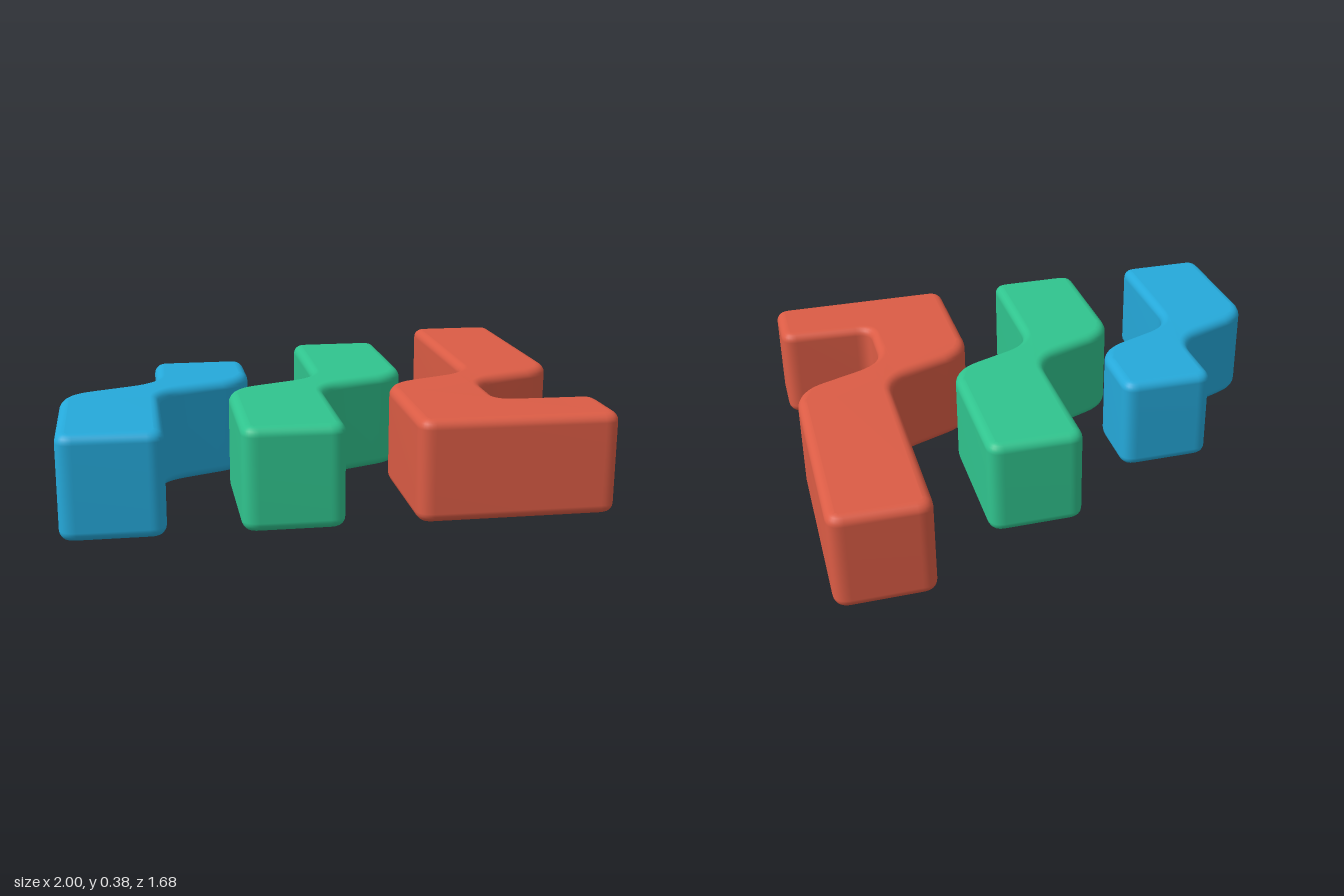
import * as THREE from 'three';
import { mergeVertices } from 'three/addons/utils/BufferGeometryUtils.js';

const HEIGHT = 0.38, BEVEL = 0.035, W = 0.37, FRONT = 0.84;

// Closed outline with rounded corners; each point is [x, z, radius]
function roundedShape(points) {
  const shape = new THREE.Shape();
  const n = points.length;
  const vec = (i) => new THREE.Vector2(points[(i + n) % n][0], -points[(i + n) % n][1]);
  for (let i = 0; i < n; i++) {
    const p = vec(i), r = points[i][2];
    const a = vec(i - 1).sub(p).setLength(r).add(p);
    const b = vec(i + 1).sub(p).setLength(r).add(p);
    if (i === 0) shape.moveTo(a.x, a.y);
    else shape.lineTo(a.x, a.y);
    shape.quadraticCurveTo(p.x, p.y, b.x, b.y);
  }
  shape.closePath();
  return shape;
}

// Soft-edged slab lying flat, with smooth normals
function softSlab(points) {
  let geo = new THREE.ExtrudeGeometry(roundedShape(points), {
    depth: HEIGHT - 2 * BEVEL, curveSegments: 8, steps: 1,
    bevelEnabled: true, bevelThickness: BEVEL, bevelSize: BEVEL,
    bevelOffset: -BEVEL, bevelSegments: 5,
  });
  geo.translate(0, 0, BEVEL);
  geo.rotateX(-Math.PI / 2);
  geo.deleteAttribute('uv');
  geo.deleteAttribute('normal');
  geo = mergeVertices(geo, 1e-4);
  geo.computeVertexNormals();
  return geo;
}

// Stepped bar: front leg, S-shaped neck, back leg, optional foot at the front
function barOutline(x, back, foot) {
  const r = 0.06, s = 0.12;
  const front = foot
    ? [[x + 2 * W, FRONT, r], [x + 2 * W, 0.555, r], [x + W, 0.545, 0.06]]
    : [[x + W, FRONT, r]];
  return [
    [x, FRONT, r],
    ...front,
    [x + W, 0.235, s], [x + 2 * W, 0.085, s],
    [x + 2 * W, back, r], [x + W, back, r],
    [x + W, 0.085, s], [x, 0.235, s],
  ];
}

export function createModel() {
  const group = new THREE.Group();
  group.name = 'steppedBars';
  const bars = [
    { name: 'shortBar', colorName: 'blue', color: 0x25a9da, x: -1, back: -0.26, foot: false },
    { name: 'mediumBar', colorName: 'green', color: 0x30c48e, x: -0.37, back: -0.555, foot: false },
    { name: 'longHookedBar', colorName: 'red', color: 0xdb5c45, x: 0.255, back: -0.84, foot: true },
  ];
  for (const b of bars) {
    const material = new THREE.MeshStandardMaterial({ color: b.color });
    material.name = b.colorName;
    const mesh = new THREE.Mesh(softSlab(barOutline(b.x, b.back, b.foot)), material);
    mesh.name = b.name;
    group.add(mesh);
  }
  return group;
}
